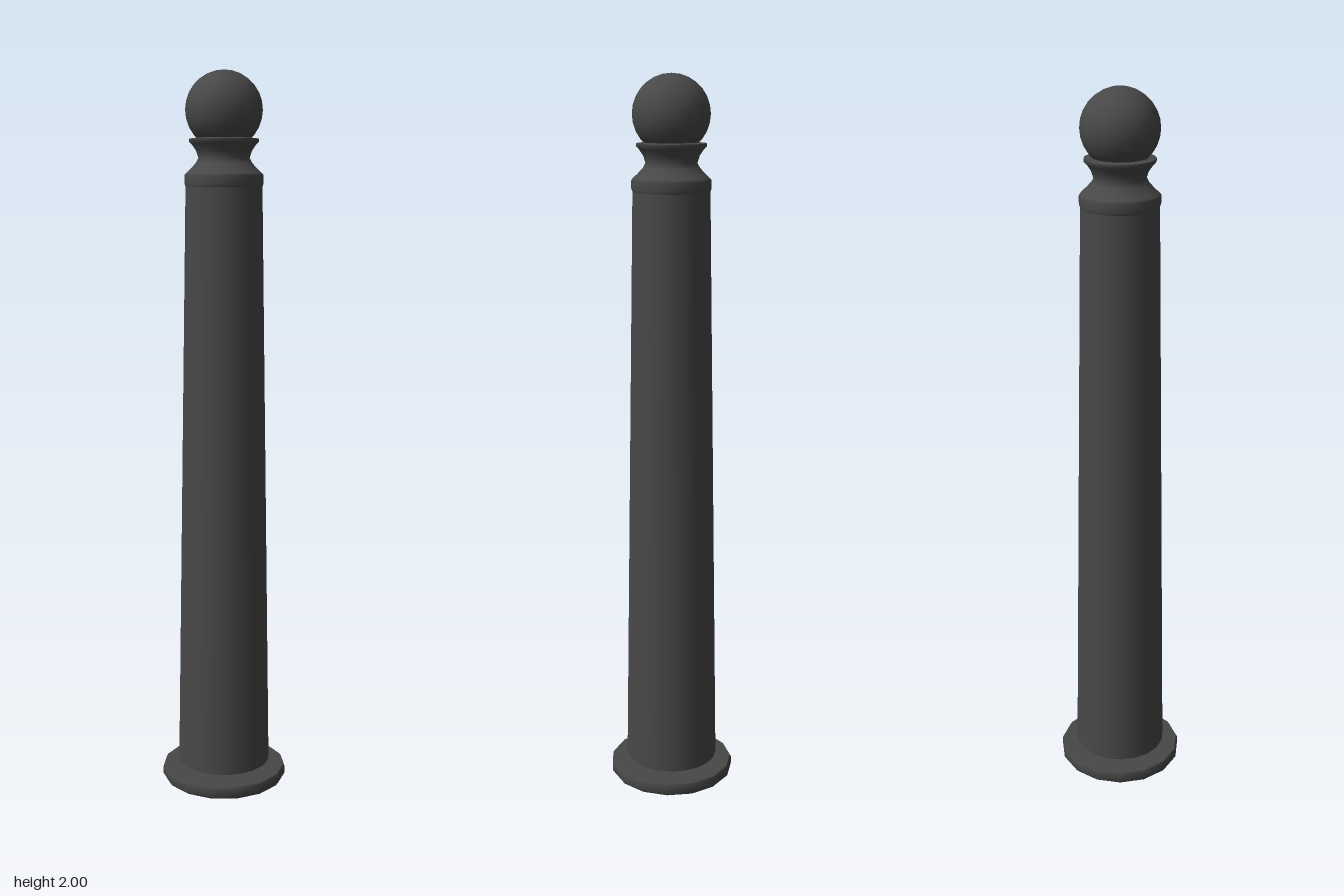
import * as THREE from 'three';

const material = new THREE.MeshStandardMaterial({ color: 0x484848, side: THREE.DoubleSide });

// Revolves each straight run of the profile on its own, so the edges between runs stay crisp.
function turned(name, runs, sides, start) {
  const group = new THREE.Group();
  group.name = name;
  for (const run of runs) {
    const points = run.map(([r, y]) => new THREE.Vector2(r, y));
    const mesh = new THREE.Mesh(new THREE.LatheGeometry(points, sides, start), material);
    mesh.name = name + 'Surface';
    group.add(mesh);
  }
  return group;
}

export function createModel() {
  const model = new THREE.Group();
  model.name = 'bollard';

  // Fifteen-sided ground plate with slightly eased rim
  model.add(turned('basePlate', [
    [[0, 0], [0.172, 0]],
    [[0.172, 0], [0.178, 0.008], [0.178, 0.028], [0.174, 0.035]],
    [[0.174, 0.035], [0, 0.035]],
  ], 15, Math.PI));

  // Tapered shaft, held just above the plate
  const turn = Math.PI / 20;
  model.add(turned('shaft', [
    [[0, 0.053], [0.131, 0.053]],
    [[0.131, 0.053], [0.104, 1.695]],
  ], 20, turn));

  // Band at the top of the shaft
  model.add(turned('band', [
    [[0.104, 1.695], [0.107, 1.703], [0.107, 1.725], [0.103, 1.73]],
    [[0.103, 1.73], [0.09, 1.742]],
  ], 20, turn));

  // Waisted neck flaring to a thin collar
  model.add(turned('neck', [
    [[0.09, 1.742], [0.076, 1.757], [0.069, 1.77], [0.075, 1.789], [0.086, 1.805]],
    [[0.086, 1.805], [0.094, 1.813], [0.094, 1.821]],
    [[0.094, 1.821], [0.06, 1.825]],
  ], 20, turn));

  // Ball finial
  const ball = new THREE.Mesh(new THREE.SphereGeometry(0.104, 16, 14), material);
  ball.name = 'ballFinial';
  ball.position.y = 1.896;
  model.add(ball);

  return model;
}
